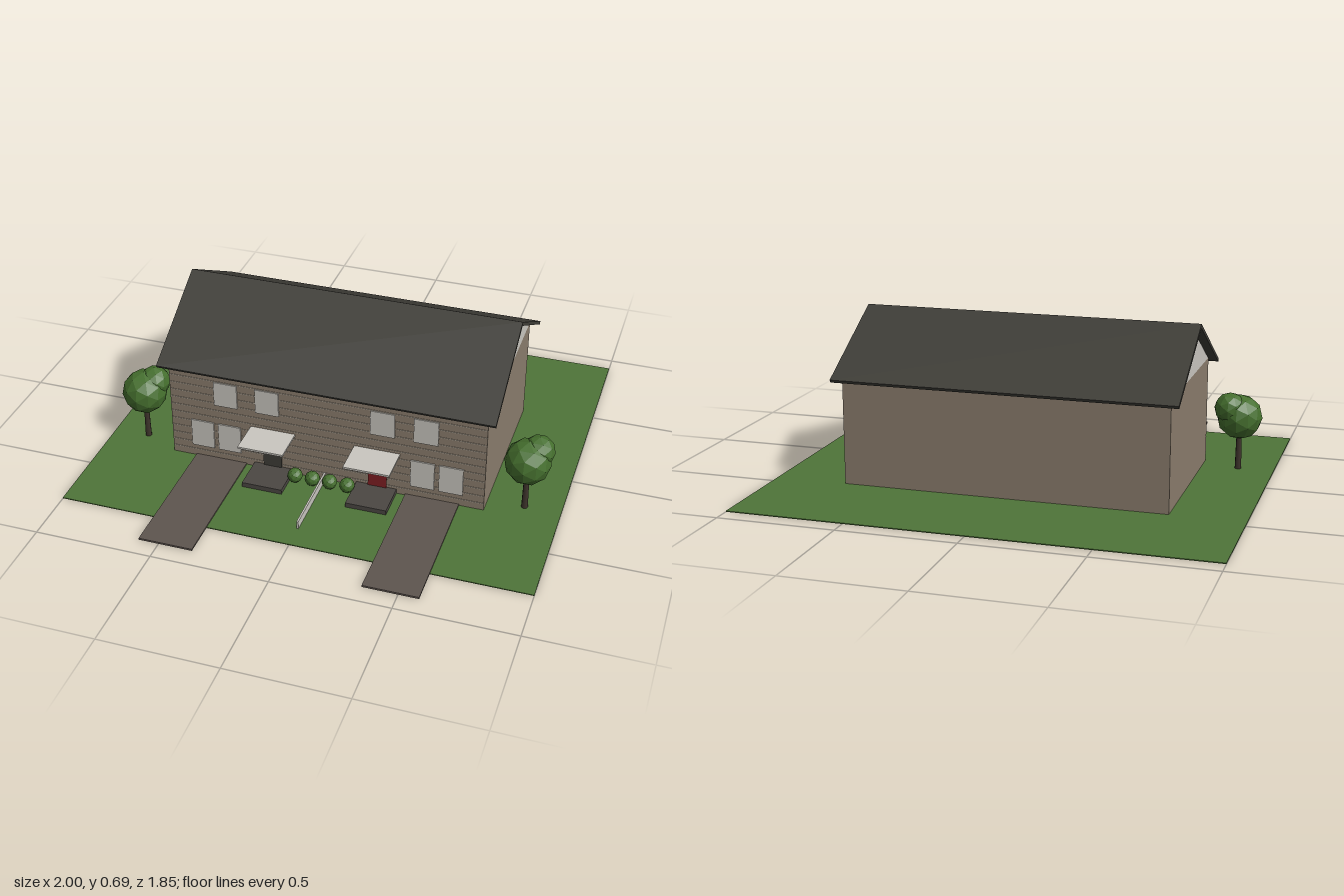
import * as THREE from 'three';

const mat = (name, color) => {
  const m = new THREE.MeshStandardMaterial({ color });
  m.name = name;
  return m;
};

export function createModel() {
  const group = new THREE.Group();
  const brick = mat('brick', 0x8b7d6d);
  const mortar = mat('mortar', 0xa59b8d);
  const slate = mat('slate', 0x3e3d37);
  const pale = mat('pale render', 0xcac7c0);
  const grass = mat('grass', 0x4f7439);
  const paving = mat('paving', 0x5e554f);
  const leaf = mat('leaf', 0x456f2e);
  leaf.flatShading = true;
  const red = mat('red door paint', 0x7f1f23);
  const stone = mat('step stone', 0x4b4743);
  const bark = mat('bark', 0x3d332b);

  const add = (name, geometry, material, x = 0, y = 0, z = 0) => {
    const mesh = new THREE.Mesh(geometry, material);
    mesh.name = name;
    mesh.position.set(x, y, z);
    group.add(mesh);
    return mesh;
  };
  // Box given by its lower and upper limits on each axis
  const box = (name, material, x0, x1, y0, y1, z0, z1) =>
    add(name, new THREE.BoxGeometry(x1 - x0, y1 - y0, z1 - z0), material,
      (x0 + x1) / 2, (y0 + y1) / 2, (z0 + z1) / 2);
  // Profile drawn in (z, y), extruded along x and centred
  const prism = (name, material, points, width) => {
    const shape = new THREE.Shape(points.map(([z, y]) => new THREE.Vector2(-z, y)));
    const geometry = new THREE.ExtrudeGeometry(shape, { depth: width, bevelEnabled: false });
    geometry.translate(0, 0, -width / 2).rotateY(Math.PI / 2);
    return add(name, geometry, material);
  };

  // Plot and house body
  const front = 0.31, back = -0.46, ridge = -0.075;
  box('lawn', grass, -1, 1, 0, 0.004, -0.925, 0.765);
  box('walls', brick, -0.69, 0.69, 0.002, 0.467, back, front);
  prism('gable', pale, [[front, 0.467], [ridge, 0.677], [back, 0.467]], 1.38);

  // Roof: two sloping slabs in one bent profile
  prism('roof', slate, [
    [0.35, 0.457], [ridge, 0.695], [-0.50, 0.457],
    [-0.493, 0.445], [ridge, 0.677], [0.343, 0.445],
  ], 1.456);

  // Mortar courses across the front wall
  for (let i = 1; i <= 12; i++) {
    const y = i * 0.0365;
    box('mortarCourse', mortar, -0.69, 0.69, y - 0.002, y + 0.002, front, front + 0.002);
  }

  // Mirrored halves: windows, canopy, step and drive
  for (const s of [-1, 1]) {
    const sided = (name, material, a, b, ...rest) =>
      box(name, material, Math.min(s * a, s * b), Math.max(s * a, s * b), ...rest);
    for (const x of [0.2, 0.385]) sided('upperWindow', pale, x, x + 0.104, 0.285, 0.4, front, front + 0.006);
    for (const x of [0.375, 0.497]) sided('lowerWindow', pale, x, x + 0.102, 0.06, 0.19, front, front + 0.006);
    sided('door', s > 0 ? red : slate, 0.192, 0.273, 0.02, 0.18, front, front + 0.006);
    sided('canopy', pale, 0.13, 0.328, 0.199, 0.208, front, 0.467);
    sided('doorStep', stone, 0.14, 0.316, 0.003, 0.025, front, 0.465);
    sided('drive', paving, 0.354, 0.585, 0.002, 0.01, front, 0.92);
  }

  // Low dividing fence between the two front gardens
  box('dividingFence', pale, -0.004, 0.004, 0.004, 0.039, front, 0.66);

  // Row of round bushes
  for (const x of [-0.115, -0.038, 0.038, 0.115]) {
    add('bush', new THREE.IcosahedronGeometry(0.033, 1), leaf, x, 0.037, 0.362);
  }

  // Trees at both sides, each with a main crown and a smaller lobe
  for (const x of [-0.846, 0.846]) {
    add('treeTrunk', new THREE.CylinderGeometry(0.011, 0.014, 0.16, 8), bark, x, 0.082, 0.235);
    add('treeCrown', new THREE.IcosahedronGeometry(0.098, 1), leaf, x, 0.235, 0.235);
    add('treeLobe', new THREE.IcosahedronGeometry(0.068, 1), leaf, x + 0.037, 0.277, 0.207);
  }
  return group;
}
